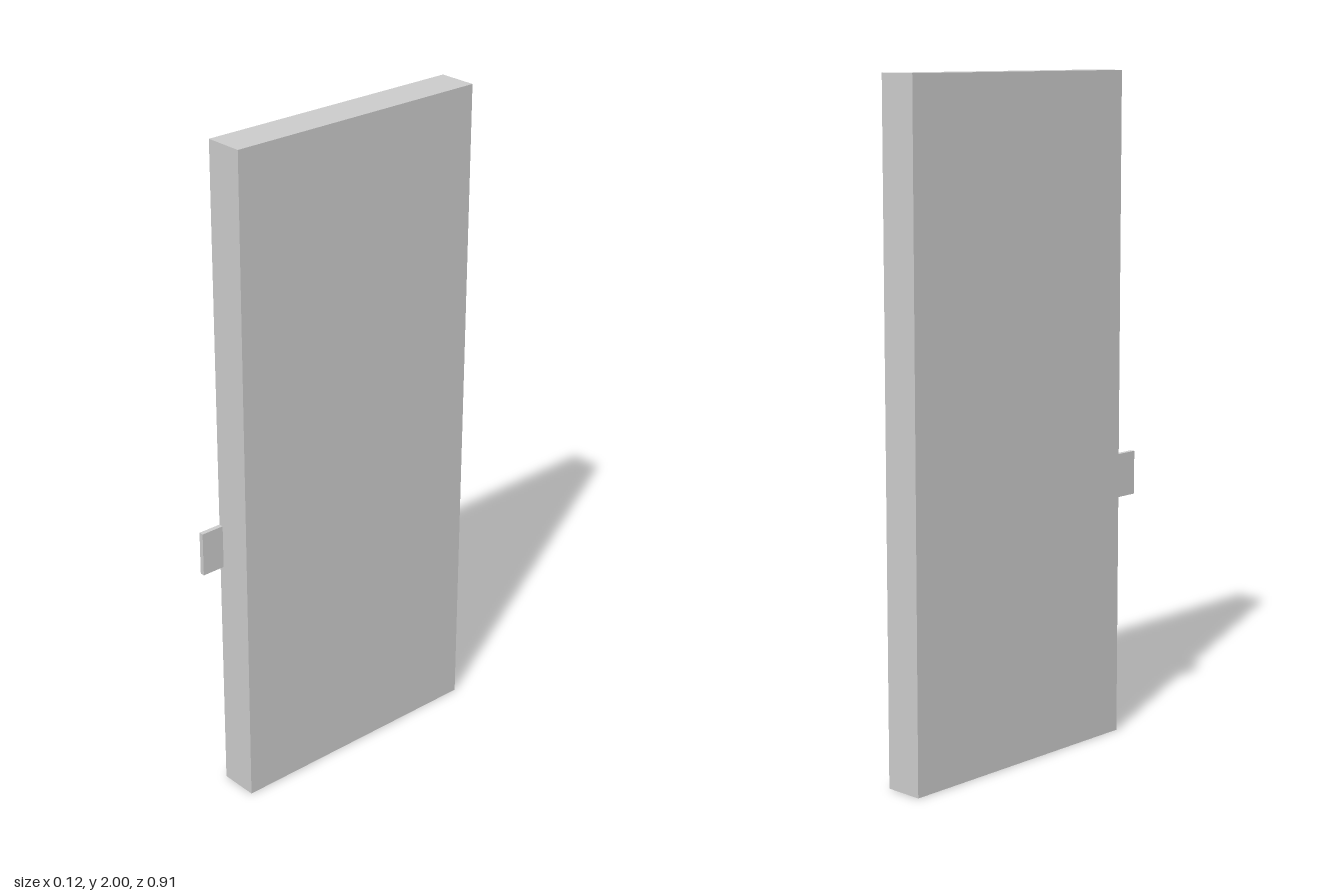
import * as THREE from 'three';

export function createModel() {
  const model = new THREE.Group();
  const material = new THREE.MeshStandardMaterial({ color: 0xcccccc, flatShading: true });

  // Box given by its minimum and maximum corners
  function addBox(name, min, max) {
    const size = max.map((v, i) => v - min[i]);
    const mesh = new THREE.Mesh(new THREE.BoxGeometry(...size), material);
    mesh.name = name;
    mesh.position.set(...max.map((v, i) => (v + min[i]) / 2));
    model.add(mesh);
  }

  // Tall upright slab
  addBox('doorPanel', [-0.059, 0, -0.457], [0.059, 2, 0.385]);

  // Thin latch tab on the front edge, flush with the right face
  addBox('latchTab', [-0.059, 0.73, 0.385], [-0.045, 0.862, 0.457]);

  return model;
}
